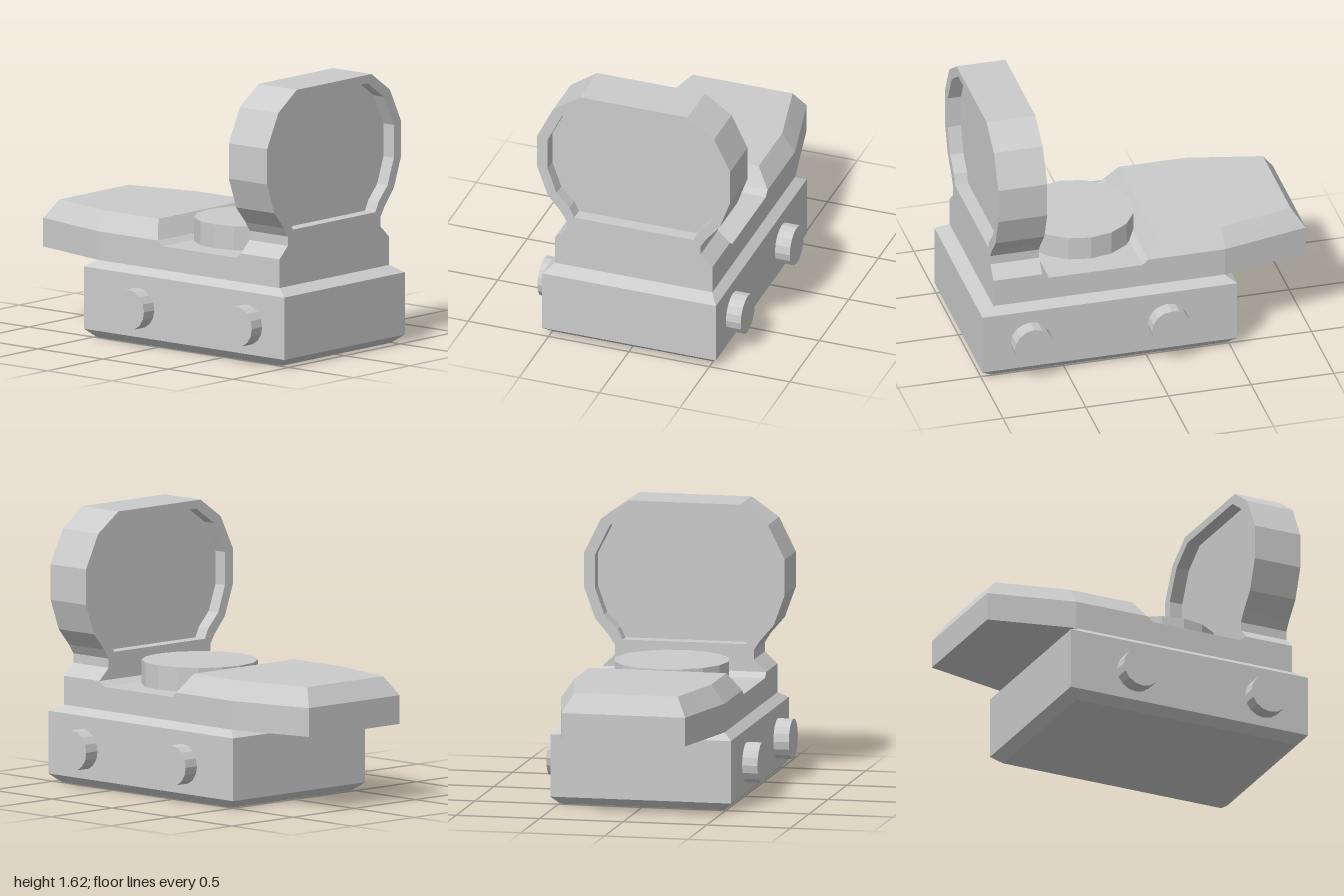
import * as THREE from 'three';

const material = new THREE.MeshStandardMaterial({ color: 0xcccccc, flatShading: true });

// Joins matching rings of [x, y, z] points and caps both ends
function loft(rings) {
  const pos = [];
  const tri = (a, b, c) => pos.push(...a, ...b, ...c);
  const n = rings[0].length;
  for (let i = 0; i < rings.length - 1; i++) {
    for (let j = 0; j < n; j++) {
      const k = (j + 1) % n;
      tri(rings[i][j], rings[i][k], rings[i + 1][k]);
      tri(rings[i][j], rings[i + 1][k], rings[i + 1][j]);
    }
  }
  const first = rings[0], last = rings[rings.length - 1];
  for (let j = 1; j < n - 1; j++) {
    tri(first[0], first[j + 1], first[j]);
    tri(last[0], last[j], last[j + 1]);
  }
  const geometry = new THREE.BufferGeometry();
  geometry.setAttribute('position', new THREE.Float32BufferAttribute(pos, 3));
  geometry.computeVertexNormals();
  return geometry;
}

// Level ring, mirrored in z, from [x, halfWidth] pairs running along +x
const levelRing = (y, half) => [
  ...half.map(([x, z]) => [x, y, z]),
  ...[...half].reverse().map(([x, z]) => [x, y, -z]),
];

// Upright rectangular ring across the model at x
const crossRing = ([x, w, top]) => [[x, 0.46, w], [x, 0.46, -w], [x, top, -w], [x, top, w]];

// Half profile of [z, y] points running upward, mirrored to a closed outline
const mirrored = (half) => [
  ...half.map(([z, y]) => new THREE.Vector2(z, y)),
  ...[...half].reverse().map(([z, y]) => new THREE.Vector2(-z, y)),
];

// Extrudes an outline along x, centred on the given x
function extrudeX(shape, depth, x) {
  return new THREE.ExtrudeGeometry(shape, { depth, bevelEnabled: false })
    .translate(0, 0, -depth / 2).rotateY(Math.PI / 2).translate(x, 0, 0);
}

export function createModel() {
  const group = new THREE.Group();
  const add = (name, geometry) => {
    const mesh = new THREE.Mesh(geometry, material);
    mesh.name = name;
    group.add(mesh);
    return mesh;
  };

  // Mounting block with chamfered top and bottom
  add('mountBase', loft([
    levelRing(0, [[-0.48, 0.49], [0.935, 0.49]]),
    levelRing(0.05, [[-0.54, 0.54], [1, 0.54]]),
    levelRing(0.42, [[-0.54, 0.54], [1, 0.54]]),
    levelRing(0.46, [[-0.475, 0.49], [0.925, 0.49]]),
  ]));

  // Deck with tapered end and a shallow recess: [x, halfWidth, topHeight]
  add('deck', loft([
    [-1, 0.37, 0.63], [-0.48, 0.49, 0.63], [-0.015, 0.49, 0.63], [0.02, 0.49, 0.6],
    [0.585, 0.49, 0.6], [0.625, 0.49, 0.63], [0.92, 0.49, 0.63],
  ].map(crossRing)));

  // Raised housing with sloping sides
  add('rearHousing', loft([
    levelRing(0.63, [[-1, 0.37], [-0.48, 0.49], [-0.015, 0.49]]),
    levelRing(0.74, [[-0.925, 0.31], [-0.48, 0.41], [-0.08, 0.41]]),
  ]));

  // Adjustment dial
  add('dial', new THREE.CylinderGeometry(0.34, 0.34, 0.15, 16)
    .rotateY(Math.PI / 2).translate(0.29, 0.667, 0));

  // Cross pins showing on both sides of the base
  for (const [name, x] of [['rearPin', -0.12], ['frontPin', 0.71]]) {
    add(name, new THREE.CylinderGeometry(0.12, 0.12, 1.265, 16)
      .rotateX(Math.PI / 2).translate(x, 0.225, 0));
  }

  // Lens frame with a necked foot, and the lens set into it
  const opening = mirrored([
    [0.37, 0.79], [0.4, 0.85], [0.48, 0.935], [0.535, 1.09],
    [0.535, 1.285], [0.445, 1.465], [0.3, 1.565],
  ]);
  const frame = new THREE.Shape(mirrored([
    [0.49, 0.63], [0.415, 0.7], [0.415, 0.755], [0.45, 0.81], [0.535, 0.91],
    [0.6, 1.09], [0.6, 1.3], [0.5, 1.5], [0.335, 1.615],
  ]));
  frame.holes.push(new THREE.Path(opening));
  add('lensFrame', extrudeX(frame, 0.295, 0.7725));
  add('lens', extrudeX(new THREE.Shape(opening), 0.135, 0.7725));

  return group;
}
